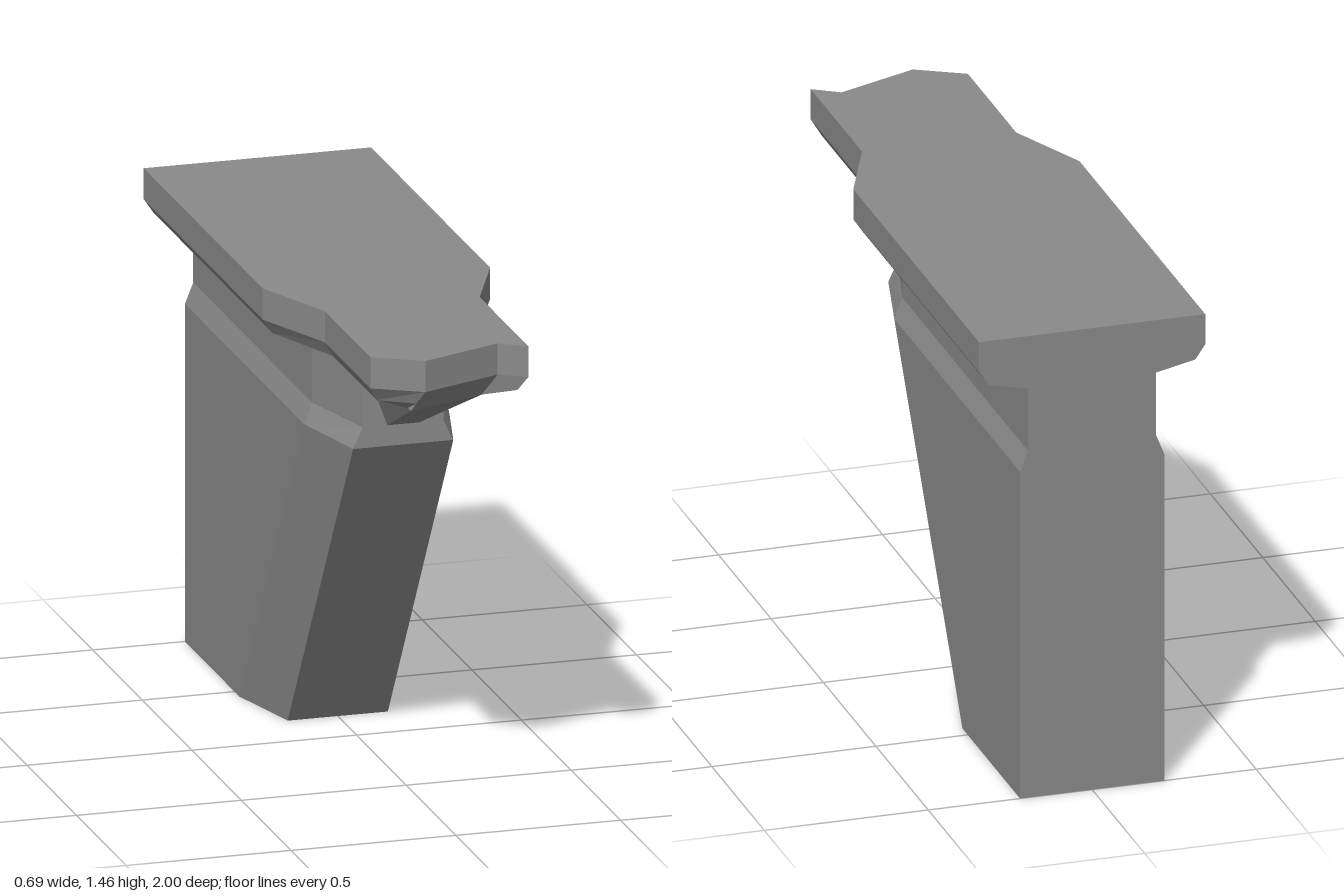
import * as THREE from 'three';

// Joins horizontal rings {y, pts: [[x, z], ...]} from bottom to top, with optional flat end caps.
function loft(rings, capBottom, capTop) {
  const pos = [];
  const tri = (a, b, c) => pos.push(...a, ...b, ...c);
  const rows = rings.map(({ y, pts }) => pts.map(([x, z]) => [x, y, z]));
  for (let r = 0; r < rows.length - 1; r++) {
    const lo = rows[r], hi = rows[r + 1], n = lo.length;
    for (let i = 0; i < n; i++) {
      const j = (i + 1) % n;
      tri(lo[i], lo[j], hi[j]);
      tri(lo[i], hi[j], hi[i]);
    }
  }
  const cap = (row, up) => {
    const flat = row.map(([x, , z]) => new THREE.Vector2(x, -z));
    for (const [a, b, c] of THREE.ShapeUtils.triangulateShape(flat, [])) {
      if (up) tri(row[a], row[b], row[c]);
      else tri(row[a], row[c], row[b]);
    }
  };
  if (capBottom) cap(rows[0], false);
  if (capTop) cap(rows[rows.length - 1], true);
  const geo = new THREE.BufferGeometry();
  geo.setAttribute('position', new THREE.Float32BufferAttribute(pos, 3));
  geo.computeVertexNormals();
  return geo;
}

// Symmetric outline with cut front corners
const pierRing = (y, w, zSide, wFront, zFront) => ({
  y,
  pts: [[-w, -1], [-w, zSide], [-wFront, zFront], [wFront, zFront], [w, zSide], [w, -1]],
});

// Slab outline: wide back, narrow neck, then an irregular broken front edge
const slabRing = (y, w, zSide, wNeck, zNeck, front) => ({
  y,
  pts: [[-w, -1], [-w, zSide], [-wNeck, zNeck], ...front, [wNeck, zNeck], [w, zSide], [w, -1]],
});

export function createModel() {
  const group = new THREE.Group();
  const stone = new THREE.MeshStandardMaterial({ color: 0x8a8a8a });
  stone.name = 'grey stone';
  stone.flatShading = true;
  const add = (name, geo) => {
    const mesh = new THREE.Mesh(geo, stone);
    mesh.name = name;
    group.add(mesh);
  };

  // Pier with raked front and a stepped-in neck
  add('pier', loft([
    pierRing(0, 0.22, -0.45, 0.152, -0.19),
    pierRing(1.03, 0.22, 0.2, 0.152, 0.47),
    pierRing(1.093, 0.195, 0.2, 0.122, 0.47),
    pierRing(1.29, 0.195, 0.2, 0.122, 0.47),
  ], true, false));

  // Ledge slab with chamfered underside
  const edge = [[-0.235, 0.92], [-0.092, 1], [0.157, 0.9], [0.235, 0.95]];
  add('ledgeSlab', loft([
    slabRing(1.29, 0.195, 0.2, 0.122, 0.47, [[-0.122, 0.92], [-0.12, 0.95], [0.12, 0.86], [0.122, 0.85]]),
    slabRing(1.316, 0.315, 0.2, 0.21, 0.46, [[-0.21, 0.9], [-0.11, 0.967], [0.134, 0.875], [0.21, 0.925]]),
    slabRing(1.36, 0.345, 0.2, 0.235, 0.46, edge),
    slabRing(1.455, 0.345, 0.2, 0.235, 0.46, edge),
  ], false, true));

  // Tapered bracket under the overhanging front
  add('bracket', loft([
    { y: 1.093, pts: [[-0.048, 0.4], [-0.048, 0.47], [0.048, 0.47], [0.048, 0.4]] },
    { y: 1.29, pts: [[-0.12, 0.4], [-0.12, 0.95], [0.12, 0.86], [0.12, 0.4]] },
  ], false, false));

  return group;
}
